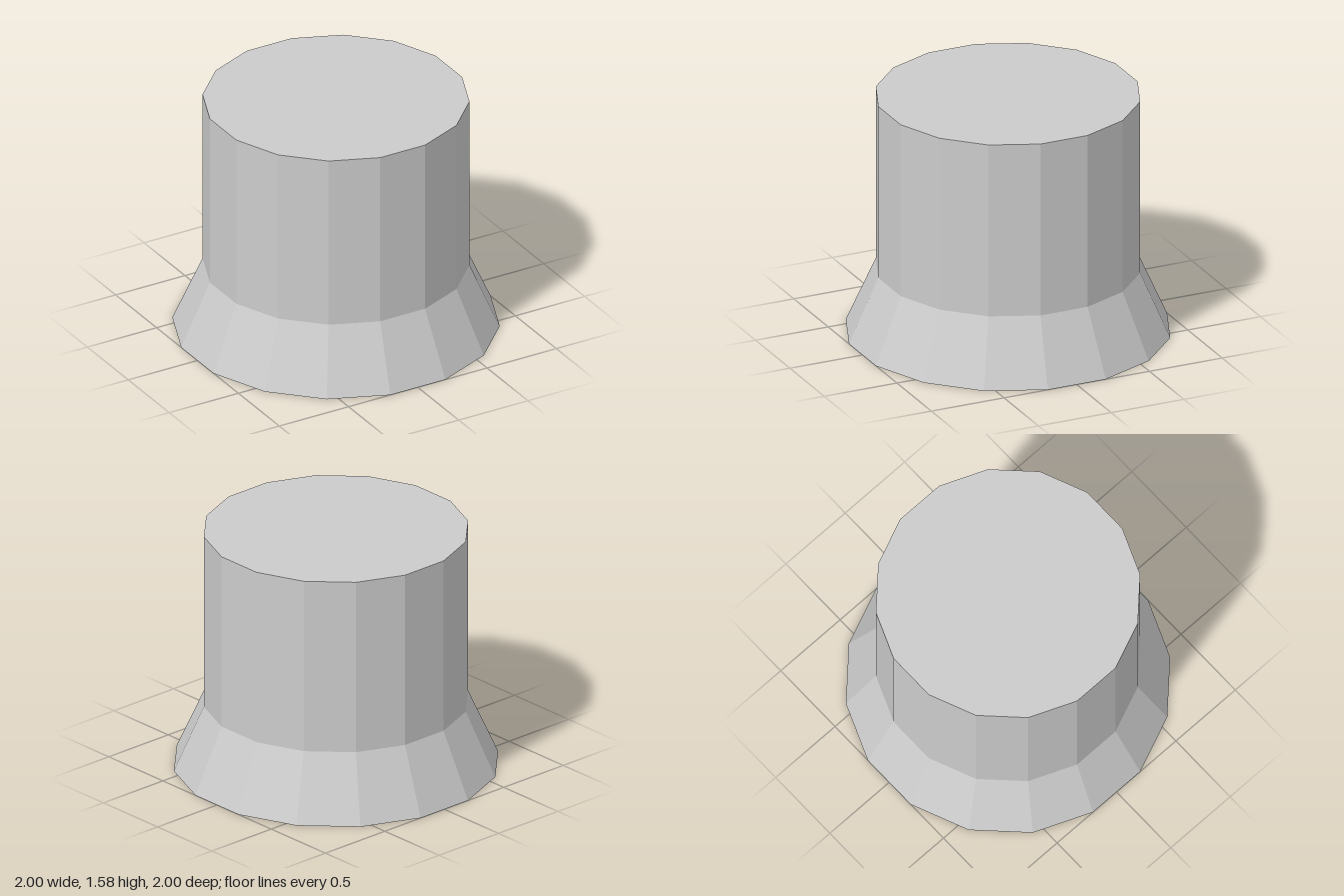
import * as THREE from 'three';

const SIDES = 16;
// Profile radii are given to the flat sides, so scale them out to the corners
const toCorner = 1 / Math.cos(Math.PI / SIDES);

export function createModel() {
  const group = new THREE.Group();
  group.name = 'flaredPost';
  const material = new THREE.MeshStandardMaterial({ color: 0xcccccc, flatShading: true });

  // Faceted solid turned from [radius, height] points, flats facing the axes
  const addTurned = (name, points) => {
    const profile = points.map(([r, y]) => new THREE.Vector2(r * toCorner, y));
    const geometry = new THREE.LatheGeometry(profile, SIDES, Math.PI / SIDES);
    const mesh = new THREE.Mesh(geometry, material);
    mesh.name = name;
    group.add(mesh);
  };

  // Flared skirt with closed underside
  addTurned('flaredBase', [[0, 0], [1, 0], [0.815, 0.425]]);
  // Straight column with flat top
  addTurned('column', [[0.815, 0.425], [0.815, 1.58], [0, 1.58]]);

  return group;
}
